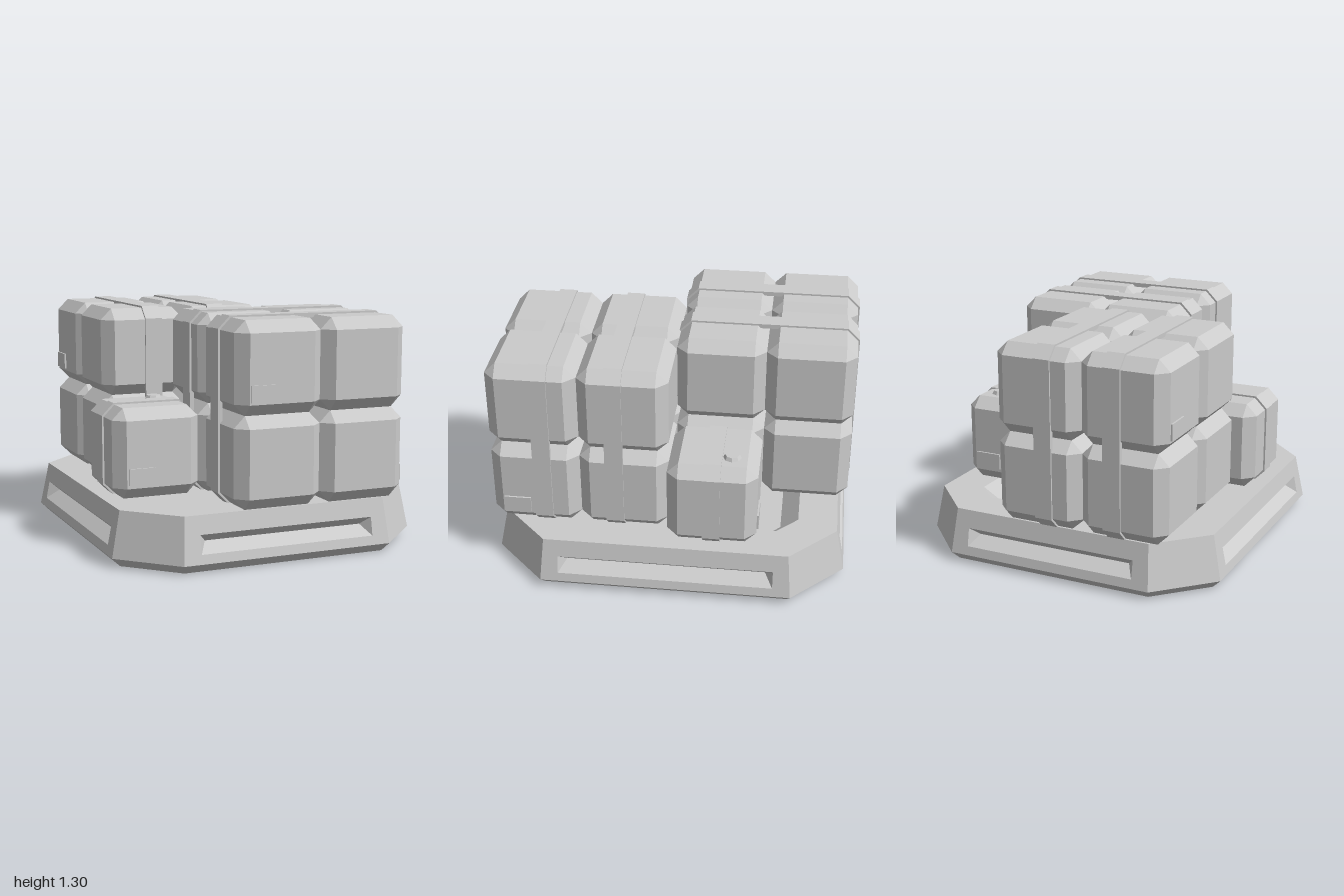
import * as THREE from 'three';
import { ConvexGeometry } from 'three/addons/geometries/ConvexGeometry.js';

const S = 0.495;      // crate size and spacing
const DECK = 0.3;     // height of the pallet top
const mat = new THREE.MeshStandardMaterial({ color: 0xcccccc, flatShading: true });

function add(parent, name, geometry, x = 0, y = 0, z = 0) {
  const m = new THREE.Mesh(geometry, mat);
  m.name = name;
  m.position.set(x, y, z);
  parent.add(m);
  return m;
}

// Cube with cut edges and corners
function crateGeometry(size, c) {
  const h = size / 2, i = h - c, pts = [];
  for (const sx of [-1, 1]) for (const sy of [-1, 1]) for (const sz of [-1, 1]) {
    pts.push(new THREE.Vector3(sx * h, sy * i, sz * i),
      new THREE.Vector3(sx * i, sy * h, sz * i),
      new THREE.Vector3(sx * i, sy * i, sz * h));
  }
  return new ConvexGeometry(pts);
}

// Closed band with cut corners, in the xy plane
function strapGeometry(half, width) {
  const outline = (h, c) => [
    [-h + c, -h], [h - c, -h], [h, -h + c], [h, h - c],
    [h - c, h], [-h + c, h], [-h, h - c], [-h, -h + c],
  ].map(([x, y]) => new THREE.Vector2(x, y));
  const shape = new THREE.Shape(outline(half, 0.067));
  shape.holes.push(new THREE.Path(outline(half - 0.025, 0.057)));
  return new THREE.ExtrudeGeometry(shape, { depth: width, bevelEnabled: false })
    .translate(0, 0, -width / 2);
}

// Eight-sided ring of points at height y, a and b are half lengths of the long sides
function octagon(hx, hz, a, b, y) {
  return [[-a, hz], [a, hz], [hx, b], [hx, -b], [a, -hz], [-a, -hz], [-hx, -b], [-hx, b]]
    .map(([x, z]) => new THREE.Vector3(x, y, z));
}

function palletGeometry() {
  const pos = [];
  const tri = (...p) => p.forEach((v) => pos.push(v.x, v.y, v.z));
  const quad = (a, b, c, d) => { tri(a, b, c); tri(a, c, d); };
  const rings = [
    octagon(0.84, 0.94, 0.58, 0.68, 0),
    octagon(0.89, 0.99, 0.6, 0.7, 0.05),
    octagon(0.84, 0.94, 0.58, 0.68, DECK),
    octagon(0.62, 0.72, 0.5, 0.6, DECK),     // rim of the sunken deck
    octagon(0.52, 0.62, 0.45, 0.55, 0.2),    // floor of the sunken deck
  ];

  // Long side with a V-shaped grip slot
  function slottedSide(a, b, c, d) {
    const mid = a.clone().add(b).multiplyScalar(0.5);
    const dir = b.clone().sub(a).normalize();
    const out = new THREE.Vector3(mid.x, 0, mid.z).normalize();
    const half = a.distanceTo(b) / 2 - 0.1;
    const at = (s, y, inset) => mid.clone().setY(y)
      .addScaledVector(dir, s).addScaledVector(out, -inset);
    const o = [at(-half, 0.1, 0.01), at(half, 0.1, 0.01), at(half, 0.2, 0.03), at(-half, 0.2, 0.03)];
    const l = at(-half + 0.045, 0.155, 0.08), r = at(half - 0.045, 0.155, 0.08);
    [a, b, c, d].forEach((p, i, q) => quad(p, q[(i + 1) % 4], o[(i + 1) % 4], o[i]));
    quad(o[0], o[1], r, l);
    quad(l, r, o[2], o[3]);
    tri(o[0], l, o[3]);
    tri(o[1], o[2], r);
  }

  for (let r = 0; r < rings.length - 1; r++) {
    const lo = rings[r], up = rings[r + 1];
    for (let k = 0; k < 8; k++) {
      const n = (k + 1) % 8;
      const side = r === 1 && k % 2 === 0 ? slottedSide : quad;
      side(lo[k], lo[n], up[n], up[k]);
    }
  }
  const bottom = rings[0], floor = rings[4];
  for (let k = 1; k < 7; k++) {
    tri(bottom[0], bottom[k + 1], bottom[k]);
    tri(floor[0], floor[k], floor[k + 1]);
  }
  const g = new THREE.BufferGeometry();
  g.setAttribute('position', new THREE.Float32BufferAttribute(pos, 3));
  g.computeVertexNormals();
  return g;
}

export function createModel() {
  const model = new THREE.Group();
  model.name = 'loadedPallet';
  add(model, 'pallet', palletGeometry());

  const crate = crateGeometry(S, 0.063);
  const bigStrap = strapGeometry(S + 0.01, 0.1);
  const smallStrap = strapGeometry(S / 2 + 0.01, 0.095);
  const cap = new THREE.CylinderGeometry(0.04, 0.05, 0.02, 8);
  const label = new THREE.BoxGeometry(0.15, 0.09, 0.02);

  // Two stacks of eight crates, each held by two straps
  for (const s of [1, -1]) {
    const stack = new THREE.Group();
    stack.name = s > 0 ? 'frontStack' : 'rearStack';
    stack.position.set(0.195 * s, DECK + S, S * s);
    model.add(stack);
    for (const x of [-1, 1]) for (const y of [-1, 1]) for (const z of [-1, 1]) {
      add(stack, 'crate', crate, x * S / 2, y * S / 2, z * S / 2);
    }
    for (const o of [-0.2, 0.2]) {
      const strap = add(stack, 'strap', bigStrap, s > 0 ? 0 : o, 0, s > 0 ? o : 0);
      if (s < 0) strap.rotation.y = Math.PI / 2;
    }

    // Single crate beside the stack, with strap, filler cap and label
    const single = new THREE.Group();
    single.name = s > 0 ? 'frontSingleCrate' : 'rearSingleCrate';
    single.position.set(-0.5475 * s, DECK + S / 2, S / 2 * s);
    model.add(single);
    add(single, 'crate', crate);
    add(single, 'strap', smallStrap);
    add(single, 'cap', cap, 0.095, S / 2 + 0.01, -0.1);
    add(single, 'label', label, -0.0975 * s, -0.12, s * (S / 2));
  }

  // Labels on the stacks
  add(model, 'label', label, -0.155, 0.915, 0.988);
  for (const [x, y, z] of [[0.69, 0.425, 0.845], [0.29, 0.915, -0.645], [-0.69, 0.915, -0.845]]) {
    add(model, 'label', label, x, y, z).rotation.y = Math.PI / 2;
  }
  return model;
}
